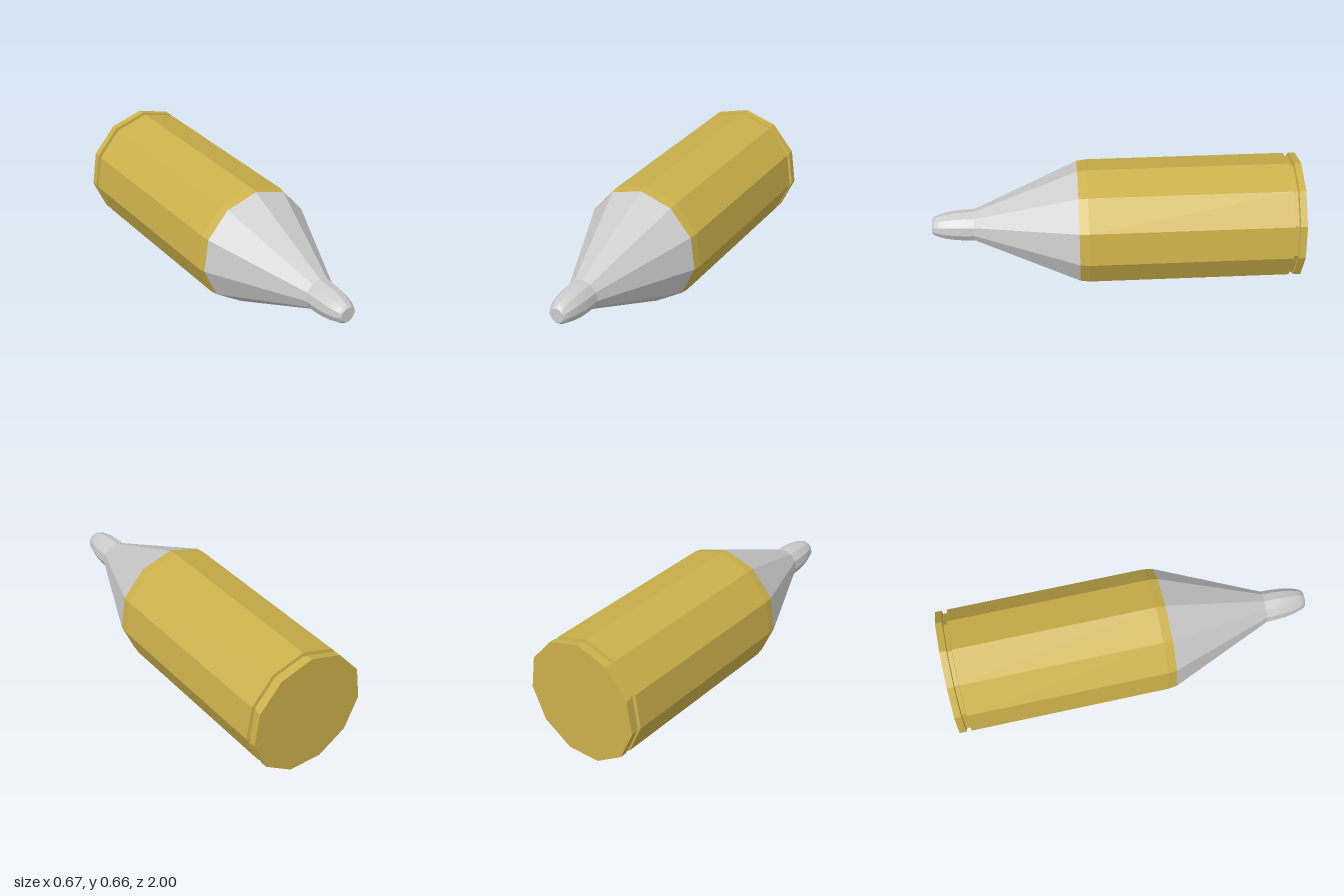
import * as THREE from 'three';
import { toCreasedNormals } from 'three/addons/utils/BufferGeometryUtils.js';

const SIDES = 11;
const R = 0.338;
const AXIS_Y = R * Math.cos(Math.PI / SIDES); // rests on one flat side

// Turns [radius, z] pairs (back to front) into an 11-sided solid along z, one corner up
function turned(name, profile, material, smoothAngle) {
  const points = profile.map(([r, z]) => new THREE.Vector2(r, z));
  let geometry = new THREE.LatheGeometry(points, SIDES, Math.PI);
  geometry.rotateX(Math.PI / 2);
  if (smoothAngle) geometry = toCreasedNormals(geometry, smoothAngle);
  const mesh = new THREE.Mesh(geometry, material);
  mesh.name = name;
  mesh.position.y = AXIS_Y;
  return mesh;
}

export function createModel() {
  const model = new THREE.Group();
  model.name = 'cartridge';
  const brass = new THREE.MeshStandardMaterial({ color: 0xcbb04a, flatShading: true });
  const steel = new THREE.MeshStandardMaterial({ color: 0xcccccc, flatShading: true });
  const smoothSteel = new THREE.MeshStandardMaterial({ color: 0xcccccc });

  // Casing: closed base, rim, extractor groove, body and bevelled mouth
  model.add(turned('casing', [
    [0, -1], [R, -1], [R, -0.963],
    [0.319, -0.96], [0.319, -0.938], [R, -0.935],
    [R, 0.155], [0.331, 0.205],
  ], brass));

  // Tapering cone
  model.add(turned('cone', [[0.331, 0.205], [0.087, 0.77], [0, 0.77]], steel));

  // Rounded nose with a flat tip
  model.add(turned('nose', [
    [0.087, 0.77], [0.086, 0.82], [0.081, 0.88], [0.072, 0.93],
    [0.062, 0.965], [0.051, 0.99], [0.04, 1], [0, 1],
  ], smoothSteel, Math.PI / 6));

  return model;
}
